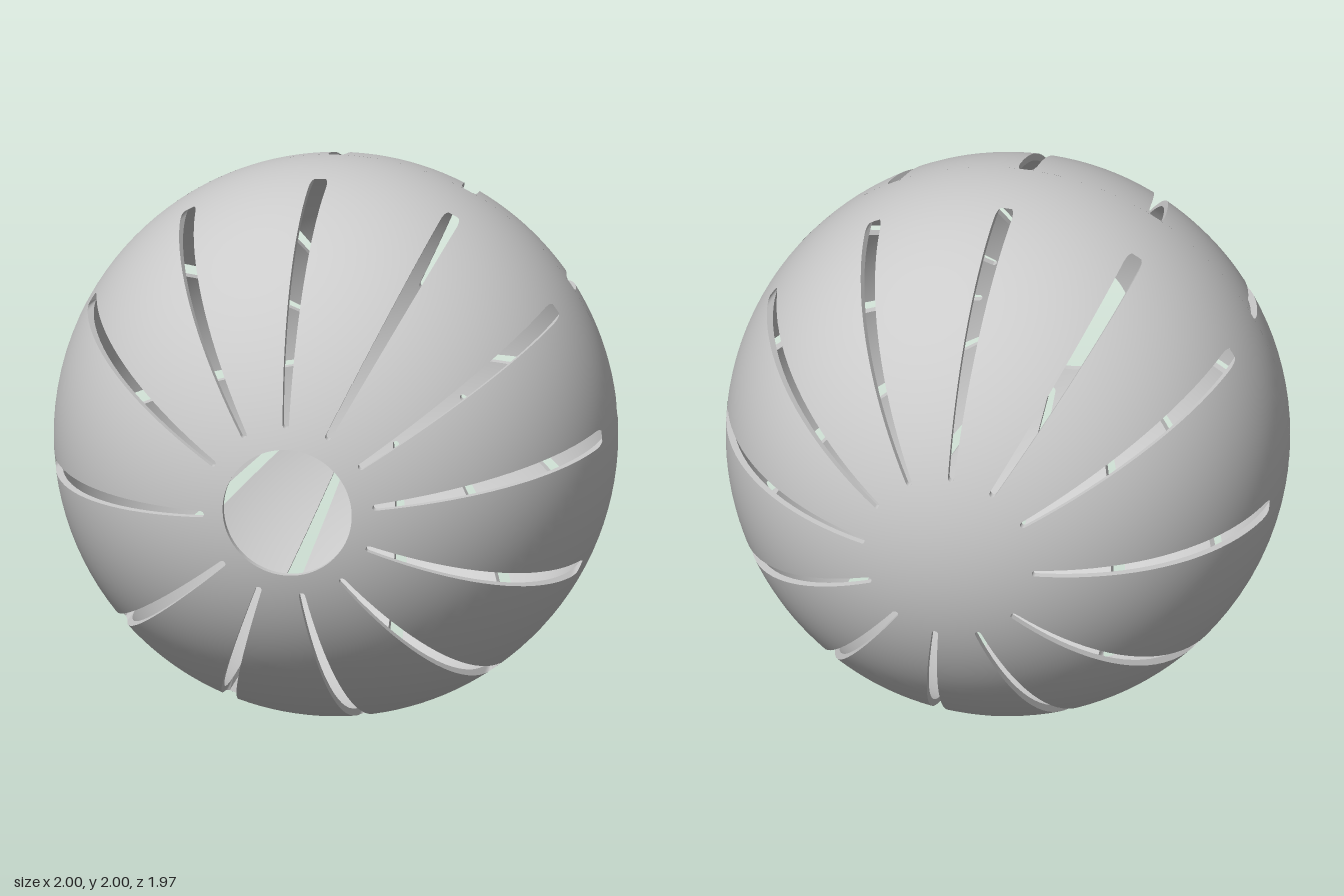
import * as THREE from 'three';
import { mergeGeometries } from 'three/addons/utils/BufferGeometryUtils.js';

const RI = 0.975;            // inner radius of the shell (outer is 1)
const HOLE = 0.2325;         // round opening at the front
const TIP = 0.305, END = 0.9887; // slot range, as distance from the z axis
const TIP_R = 0.011, END_W = 0.032, FILLET = 0.012;
const COLS = 10;

// Slot directions around the z axis: eleven even steps and one wider gap each side
const slots = [-174.7];
for (let k = 10; k >= 0; k--) slots.push(149.3 - 28.8 * k);
const angles = slots.map((d) => THREE.MathUtils.degToRad(d));

// Half width of the tapered slot at a distance rho from the axis
function halfWidth(rho) {
  if (rho <= TIP || rho > END + 1e-6) return 0;
  let w = TIP_R + (END_W - TIP_R) * (rho - TIP) / (END - TIP);
  const a = rho - TIP, b = Math.max(0, END - rho);
  if (a < TIP_R) w = Math.sqrt(TIP_R ** 2 - (TIP_R - a) ** 2);
  if (b < FILLET) w -= FILLET - Math.sqrt(FILLET ** 2 - (FILLET - b) ** 2);
  return w;
}
const halfAngle = (rho) => (rho > TIP ? Math.asin(halfWidth(rho) / rho) : 0);

// Rows from the pole to the equator: polar angles and slot half angles, outside and inside
function makeRows(start) {
  const rows = [];
  const add = (po, pi, open = true) => rows.push({
    po, pi, open,
    ho: open ? halfAngle(Math.sin(po)) : 0,
    hi: halfAngle(RI * Math.sin(pi)),
  });
  const addRho = (rho) => add(Math.asin(rho), Math.asin(rho / RI));
  for (let i = 0; i < 6; i++) addRho(start + (TIP - start) * i / 6);
  const tipRow = rows.length;
  for (let i = 0; i < 6; i++) addRho(TIP + TIP_R * (1 - Math.cos(i / 6 * Math.PI / 2)));
  const p0 = Math.asin(TIP + TIP_R), p1 = Math.asin(0.93), p2 = Math.asin(END);
  for (let i = 0; i < 16; i++) addRho(Math.sin(p0 + (p1 - p0) * i / 16));
  const q1 = Math.asin(0.93 / RI), q2 = 1.535;
  for (let i = 0; i <= 16; i++) add(p1 + (p2 - p1) * i / 16, q1 + (q2 - q1) * i / 16);
  const endRow = rows.length;
  for (let i = 0; i <= 4; i++) {
    add(p2 + (Math.PI / 2 - p2) * i / 4, q2 + (Math.PI / 2 - q2) * i / 4, false);
  }
  return { rows, tipRow, endRow };
}

const polar = (rho, theta, z) => new THREE.Vector3(rho * Math.cos(theta), rho * Math.sin(theta), z);
const onSphere = (r, phi, theta) => polar(r * Math.sin(phi), theta, r * Math.cos(phi));

// Grid surface; side mirrors z, round = 1 or -1 gives spherical normals
function grid(ni, nj, point, side, flip, round = 0) {
  const pos = [], nor = [], index = [];
  for (let i = 0; i <= ni; i++) for (let j = 0; j <= nj; j++) {
    const p = point(i, j);
    p.z *= side;
    pos.push(p.x, p.y, p.z);
    const n = p.clone().normalize().multiplyScalar(round);
    nor.push(n.x, n.y, n.z);
  }
  const rev = flip !== (side < 0);
  for (let i = 0; i < ni; i++) for (let j = 0; j < nj; j++) {
    const a = i * (nj + 1) + j, b = a + nj + 1, c = a + 1, d = b + 1;
    if (rev) index.push(a, c, b, c, d, b);
    else index.push(a, b, c, c, b, d);
  }
  const g = new THREE.BufferGeometry();
  g.setAttribute('position', new THREE.Float32BufferAttribute(pos, 3));
  g.setAttribute('normal', new THREE.Float32BufferAttribute(nor, 3));
  g.setIndex(index);
  if (!round) g.computeVertexNormals();
  return g;
}

export function createModel() {
  const outer = [], inner = [], walls = [], rim = [];
  const endAngle = halfAngle(END);

  for (const side of [1, -1]) {
    const { rows, tipRow, endRow } = makeRows(side > 0 ? HOLE : 0);
    const n = rows.length - 1;

    angles.forEach((a, k) => {
      const b = k < angles.length - 1 ? angles[k + 1] : angles[0] + 2 * Math.PI;
      const between = (h, j) => a + h + (b - a - 2 * h) * j / COLS;

      // Rib between two slots, outside and inside
      outer.push(grid(n, COLS, (i, j) => onSphere(1, rows[i].po, between(rows[i].ho, j)), side, false, 1));
      inner.push(grid(n, COLS, (i, j) => onSphere(RI, rows[i].pi, between(rows[i].hi, j)), side, true, -1));

      // Cut faces on both edges of the rib
      for (const [edge, dir] of [[a, 1], [b, -1]]) {
        walls.push(grid(n - tipRow, 1, (i, j) => {
          const r = rows[tipRow + i];
          if (j) return onSphere(RI, r.pi, edge + dir * r.hi);
          if (r.open) return onSphere(1, r.po, edge + dir * r.ho);
          return polar(END, edge + dir * endAngle, Math.cos(r.po));
        }, side, dir > 0));
      }

      // Thin skin left behind the slot end at the equator
      walls.push(grid(n - endRow, 2, (i, j) =>
        polar(END, a + (j - 1) * endAngle, Math.cos(rows[endRow + i].po)), side, true));

      // Edge of the front opening
      if (side > 0) {
        rim.push(grid(COLS, 1, (i, j) => onSphere(j ? RI : 1, j ? rows[0].pi : rows[0].po, between(0, i)), 1, false));
      }
    });
  }

  const material = new THREE.MeshStandardMaterial({ color: 0xcccccc, side: THREE.DoubleSide });
  const model = new THREE.Group();
  model.name = 'slottedSphere';
  const parts = { outerShell: outer, innerShell: inner, slotWalls: walls, openingRim: rim };
  for (const [name, list] of Object.entries(parts)) {
    const mesh = new THREE.Mesh(mergeGeometries(list), material);
    mesh.name = name;
    mesh.position.set(0, 1, (1 - Math.sqrt(1 - HOLE ** 2)) / 2);
    model.add(mesh);
  }
  return model;
}
